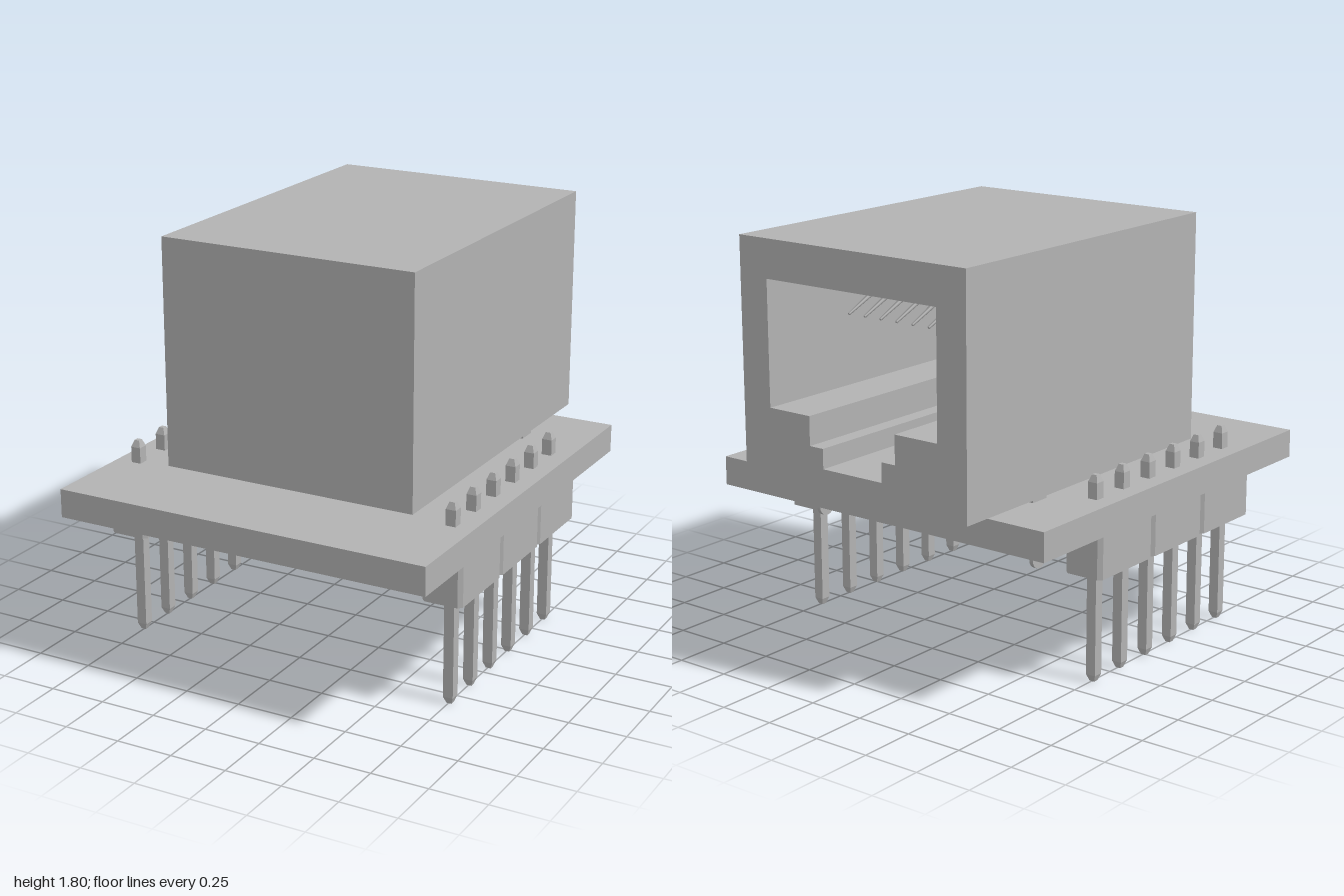
import * as THREE from 'three';
import { mergeGeometries } from 'three/addons/utils/BufferGeometryUtils.js';

const grey = new THREE.MeshStandardMaterial({ color: 0xb2b2b2 });
grey.name = 'plain grey';

export function createModel() {
  const model = new THREE.Group();
  model.name = 'networkJackModule';

  const add = (name, geometry, parent = model) => {
    const mesh = new THREE.Mesh(geometry, grey);
    mesh.name = name;
    parent.add(mesh);
    return mesh;
  };
  // Box given by its limits on each axis
  const box = (x0, x1, y0, y1, z0, z1) =>
    new THREE.BoxGeometry(x1 - x0, y1 - y0, z1 - z0)
      .translate((x0 + x1) / 2, (y0 + y1) / 2, (z0 + z1) / 2);
  const outline = (pts) => new THREE.Shape(pts.map(([x, y]) => new THREE.Vector2(x, y)));
  const extrude = (shape, depth) =>
    new THREE.ExtrudeGeometry(shape, { depth, bevelEnabled: false, curveSegments: 20 });
  // Extrusion standing upright between y0 and y1
  const upright = (shape, y0, y1) => extrude(shape, y1 - y0).rotateX(-Math.PI / 2).translate(0, y0, 0);
  // Rectangle with cut corners
  const cutRect = (a, b, c) => outline([
    [-a + c, -b], [a - c, -b], [a, -b + c], [a, b - c],
    [a - c, b], [-a + c, b], [-a, b - c], [-a, -b + c]]);

  // Circuit board
  add('circuitBoard', box(-0.85, 0.85, 0.66, 0.785, -0.85, 1));

  // Jack housing with its stepped socket opening to the rear
  const housing = outline([[-0.595, 0.795], [0.575, 0.795], [0.575, 1.8], [-0.595, 1.8]]);
  const half = [[0.155, 0.89], [0.155, 0.975], [0.225, 0.975], [0.225, 1.1], [0.44, 1.1], [0.44, 1.635]];
  const mid = -0.01;
  housing.holes.push(new THREE.Path([
    ...half.map(([x, y]) => new THREE.Vector2(mid + x, y)),
    ...half.slice().reverse().map(([x, y]) => new THREE.Vector2(mid - x, y))]));
  const depth = 1.25;
  add('jackHousing', extrude(housing, depth).translate(0, 0, -1));
  add('jackFrontWall', box(-0.595, 0.575, 0.795, 1.8, -1 + depth, 0.575));

  // Eight spring contacts slanting down from the socket ceiling
  const contacts = [];
  for (let i = 0; i < 8; i++) {
    const g = new THREE.CylinderGeometry(0.006, 0.02, 0.48, 4).rotateY(Math.PI / 4);
    g.rotateX(-Math.PI / 2 - 0.42);
    contacts.push(g.translate(mid + (i - 3.5) * 0.085, 1.55, -0.45));
  }
  add('springContacts', mergeGeometries(contacts));

  // Split locating pegs under the jack, slightly tapered
  for (const x of [-0.435, 0.415]) {
    const halves = [0, Math.PI].map((turn) => {
      const s = new THREE.Shape();
      const a = Math.acos(0.035 / 0.115);
      s.absarc(0, 0, 0.115, -a, a, false);
      s.closePath();
      const g = upright(s, 0.565, 0.796);
      const p = g.attributes.position;
      for (let i = 0; i < p.count; i++) {
        if (p.getY(i) < 0.6) {
          p.setX(i, 0.035 + (p.getX(i) - 0.035) * 0.85);
          p.setZ(i, p.getZ(i) * 0.9);
        }
      }
      g.computeVertexNormals();
      return g.rotateY(turn);
    });
    add('locatingPeg', mergeGeometries(halves).translate(x, 0, -0.195));
  }

  // Round-ended shield tabs
  for (const x of [-0.595, 0.557]) {
    const s = new THREE.Shape();
    s.moveTo(0.045, 0.82);
    s.lineTo(-0.045, 0.82);
    s.lineTo(-0.045, 0.545);
    s.absarc(0, 0.545, 0.045, Math.PI, Math.PI * 2, false);
    s.closePath();
    add('shieldTab', extrude(s, 0.018).rotateY(Math.PI / 2).translate(x, 0, -0.535));
  }

  // Pin headers on both sides
  for (const side of [-1, 1]) {
    const header = new THREE.Group();
    header.name = side > 0 ? 'leftPinHeader' : 'rightPinHeader';
    header.position.x = side * 0.752;
    model.add(header);
    for (let k = 0; k < 3; k++) {
      add('headerBlock', upright(cutRect(0.09, 0.1875, 0.017), 0.475, 0.661)
        .translate(0, 0, 0.104 + (k - 1) * 0.375), header);
    }
    for (let i = 0; i < 6; i++) {
      const w = 0.0225, r = w * Math.SQRT2;
      const end = (top, bottom, y) =>
        new THREE.CylinderGeometry(top, bottom, 0.03, 4).toNonIndexed().rotateY(Math.PI / 4).translate(0, y, 0);
      const pin = mergeGeometries([
        box(-w, w, 0.03, 0.855, -w, w).toNonIndexed(),
        end(r * 0.5, r, 0.87), end(r, r * 0.5, 0.015)]);
      pin.computeVertexNormals();
      add('pin', pin.translate(0, 0, 0.567 - i * 0.1875), header);
    }
  }

  // Square chip under the board, turned 45 degrees
  const chip = new THREE.Group();
  chip.name = 'chip';
  chip.position.set(0.145, 0, 0.11);
  chip.rotation.y = Math.PI / 4;
  model.add(chip);
  const taper = (g, y, k) => {
    const p = g.attributes.position;
    for (let i = 0; i < p.count; i++) {
      if (p.getY(i) < y) p.setXYZ(i, p.getX(i) * k, p.getY(i), p.getZ(i) * k);
    }
    g.computeVertexNormals();
    return g;
  };
  add('chipBody', mergeGeometries([
    taper(upright(cutRect(0.255, 0.255, 0.035), 0.56, 0.605), 0.58, 0.94),
    upright(cutRect(0.255, 0.255, 0.035), 0.605, 0.65)]), chip);

  // Bent leads along the four sides of the chip
  const leads = [];
  for (let s = 0; s < 4; s++) {
    for (let i = 0; i < 12; i++) {
      const x = (i - 5.5) * 0.038, w = 0.009;
      leads.push(
        box(x - w, x + w, 0.606, 0.62, 0.25, 0.285).rotateY(s * Math.PI / 2),
        box(x - w, x + w, 0.606, 0.66, 0.275, 0.288).rotateY(s * Math.PI / 2),
        box(x - w, x + w, 0.648, 0.661, 0.28, 0.315).rotateY(s * Math.PI / 2));
    }
  }
  add('chipLeads', mergeGeometries(leads), chip);

  return model;
}
